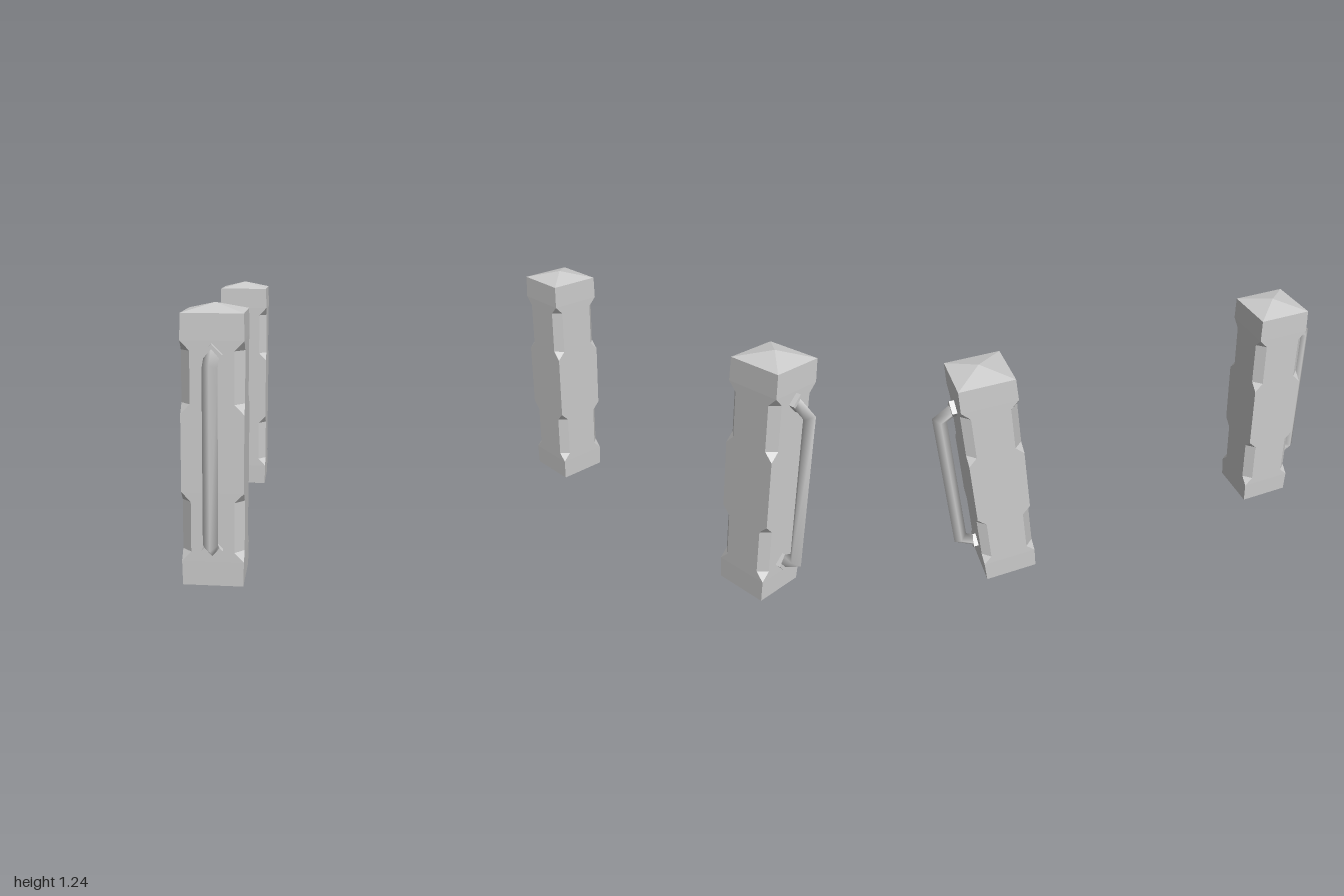
import * as THREE from 'three';

const material = new THREE.MeshStandardMaterial({ color: 0xcccccc });

// Skin a list of closed rings (equal point counts, counter-clockwise about the travel direction)
function loft(rings) {
  const n = rings[0].length;
  const points = rings.flat();
  const index = [];
  const addTriangle = (a, b, c) => {
    const [p, q, r] = [points[a], points[b], points[c]];
    if (p.distanceTo(q) > 1e-6 && q.distanceTo(r) > 1e-6 && r.distanceTo(p) > 1e-6) index.push(a, b, c);
  };
  for (let k = 0; k < rings.length - 1; k++) {
    for (let i = 0; i < n; i++) {
      const a = k * n + i, b = k * n + (i + 1) % n;
      addTriangle(a, b, b + n);
      addTriangle(a, b + n, a + n);
    }
  }
  const geometry = new THREE.BufferGeometry().setFromPoints(points);
  geometry.setIndex(index);
  return geometry;
}

// Square cross-section of half-width h whose four corners are cut back by c
function squareRing(y, h, c) {
  const ring = [];
  for (let k = 0; k < 4; k++) {
    for (const [x, u] of [[h, h - c], [h - c, h]]) {
      const [px, pu] = [[x, u], [-u, x], [-x, -u], [u, -x]][k];
      ring.push(new THREE.Vector3(px, y, -pu));
    }
  }
  return ring;
}

// Pillar with pyramid ends and two notches along each corner edge
function pillarGeometry() {
  const H = 0.1325, E = 0.13, C = 0.04;
  const sections = [[0, 0, 0], [0.04, E, 0]];
  for (const y of [0.15, 0.79]) {
    sections.push([y, H, 0], [y + 0.042, H, C], [y + 0.263, H, C], [y + 0.305, H, 0]);
  }
  sections.push([1.205, E, 0], [1.24, 0, 0]);
  const geometry = loft(sections.map((s) => squareRing(...s))).toNonIndexed();
  geometry.computeVertexNormals();
  return geometry;
}

// Diamond-section bar bent at both ends; each station is y, z and the mitre offset dy, dz
function handleGeometry() {
  const r = 0.032;
  const stations = [
    [0.207, 0.133, 0.037, 0],
    [0.254, 0.211, 0.018, -r],
    [0.994, 0.211, -0.018, -r],
    [1.041, 0.133, -0.037, 0],
  ];
  const geometry = loft(stations.map(([y, z, dy, dz]) => [
    new THREE.Vector3(r, y, z),
    new THREE.Vector3(0, y + dy, z + dz),
    new THREE.Vector3(-r, y, z),
    new THREE.Vector3(0, y - dy, z - dz),
  ]));
  geometry.computeVertexNormals();
  return geometry;
}

export function createModel() {
  const model = new THREE.Group();
  model.name = 'pillarPair';

  const pillar = pillarGeometry();
  const bar = handleGeometry();
  const plate = new THREE.BoxGeometry(0.063, 0.063, 0.034);
  const add = (parent, geometry, name) => {
    const mesh = new THREE.Mesh(geometry, material);
    mesh.name = name;
    parent.add(mesh);
    return mesh;
  };

  for (const side of [1, -1]) {
    const post = new THREE.Group();
    post.name = side > 0 ? 'frontPost' : 'backPost';
    add(post, pillar, 'pillar');
    add(post, bar, 'handle');

    // Mounting plates turned to stand on a corner
    for (const [name, y] of [['lowerHandlePlate', 0.208], ['upperHandlePlate', 1.04]]) {
      const mount = add(post, plate, name);
      mount.position.set(0, y, 0.139);
      mount.rotation.z = Math.PI / 4;
    }

    post.position.z = side * 0.757;
    post.rotation.y = side > 0 ? 0 : Math.PI;
    model.add(post);
  }
  return model;
}
